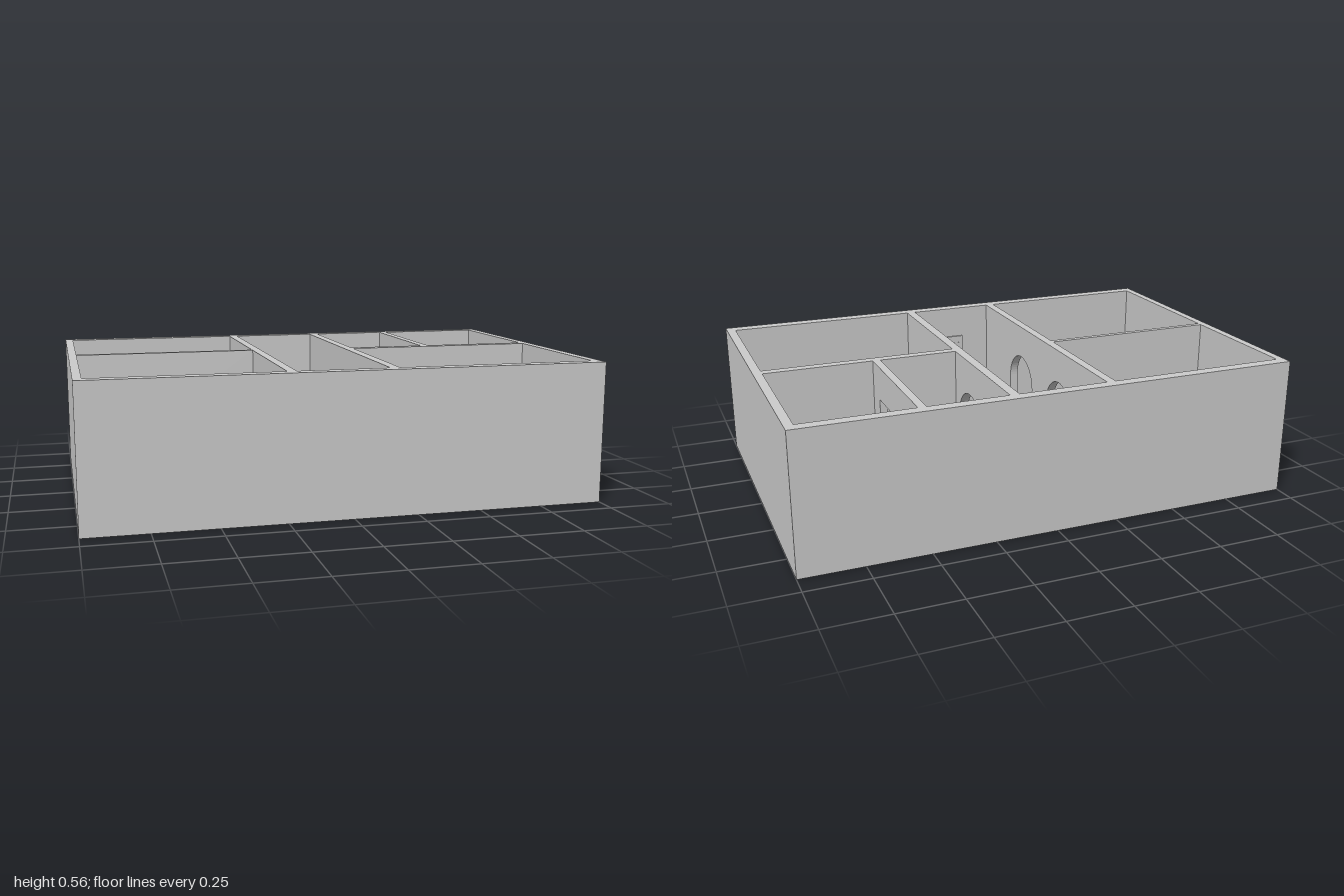
import * as THREE from 'three';

const H = 0.555, FLOOR = 0.04, DOOR_TOP = 0.42;
const BACK = -0.615, FRONT = 0.612;
const material = new THREE.MeshStandardMaterial({ color: 0xcccccc, side: THREE.DoubleSide });

function add(parent, name, geometry, x = 0, y = 0, z = 0) {
  const mesh = new THREE.Mesh(geometry, material);
  mesh.name = name;
  mesh.position.set(x, y, z);
  parent.add(mesh);
  return mesh;
}

// box given by its low and high corners
function block(parent, name, [x0, y0, z0], [x1, y1, z1]) {
  return add(parent, name, new THREE.BoxGeometry(x1 - x0, y1 - y0, z1 - z0),
    (x0 + x1) / 2, (y0 + y1) / 2, (z0 + z1) / 2);
}

// wall running along z, with doorways cut up from the floor: {z, width, arched}
function pierceWall(parent, name, x0, x1, z0, z1, doorways) {
  const s = new THREE.Shape();
  s.moveTo(z0, FLOOR);
  for (const { z, width, arched } of doorways) {
    const r = width / 2;
    s.lineTo(z - r, FLOOR);
    if (arched) {
      s.lineTo(z - r, DOOR_TOP - r);
      s.absarc(z, DOOR_TOP - r, r, Math.PI, 0, true);
    } else {
      s.lineTo(z - r, DOOR_TOP);
      s.lineTo(z + r, DOOR_TOP);
    }
    s.lineTo(z + r, FLOOR);
  }
  s.lineTo(z1, FLOOR);
  s.lineTo(z1, H);
  s.lineTo(z0, H);
  s.closePath();
  const g = new THREE.ExtrudeGeometry(s, { depth: x1 - x0, bevelEnabled: false, curveSegments: 16 });
  g.rotateY(-Math.PI / 2);
  return add(parent, name, g, x1, 0, 0);
}

// panelled leaf with its hinge at the origin, reaching along +x
function makeDoor(name, width, height) {
  const door = new THREE.Group();
  door.name = name;
  block(door, 'doorLeaf', [0, 0, -0.004], [width, height, 0.004]);
  const panelW = width * 0.32;
  for (const cx of [width * 0.28, width * 0.72]) {
    for (const [y0, y1] of [[0.08, 0.42], [0.52, 0.92]]) {
      block(door, 'doorPanel', [cx - panelW / 2, y0 * height, -0.0055],
        [cx + panelW / 2, y1 * height, 0.0055]);
    }
  }
  // lever handles on both faces
  for (const side of [-1, 1]) {
    const stem = new THREE.CylinderGeometry(0.004, 0.004, 0.012, 10).rotateX(Math.PI / 2);
    add(door, 'handleStem', stem, width - 0.01, height * 0.47, side * 0.009);
    add(door, 'handleLever', new THREE.BoxGeometry(0.024, 0.006, 0.004),
      width - 0.018, height * 0.47, side * 0.015);
  }
  return door;
}

export function createModel() {
  const house = new THREE.Group();
  house.name = 'floorPlan';

  // floor slab and outer wall ring
  block(house, 'floor', [-1, 0, -0.66], [1, FLOOR, 0.66]);
  const ring = new THREE.Shape([[-1, -0.66], [1, -0.66], [1, 0.66], [-1, 0.66]]
    .map(p => new THREE.Vector2(...p)));
  ring.holes.push(new THREE.Path([[-0.968, -FRONT], [-0.968, -BACK], [0.965, -BACK], [0.965, -FRONT]]
    .map(p => new THREE.Vector2(...p))));
  const outer = new THREE.ExtrudeGeometry(ring, { depth: H - FLOOR, bevelEnabled: false });
  add(house, 'outerWalls', outer.rotateX(-Math.PI / 2), 0, FLOOR, 0);

  // corridor walls with arched doorways
  pierceWall(house, 'corridorWallRight', -0.245, -0.21, BACK, FRONT,
    [{ z: -0.2, width: 0.24, arched: true }, { z: 0.19, width: 0.24, arched: true }]);
  pierceWall(house, 'corridorWallLeft', 0.145, 0.182, BACK, FRONT,
    [{ z: -0.2, width: 0.24, arched: true }, { z: 0.165, width: 0.24, arched: true }]);

  // cross walls between front and back rooms
  block(house, 'crossWallRight', [-0.968, FLOOR, -0.065], [-0.245, H, -0.043]);
  block(house, 'crossWallLeft', [0.182, FLOOR, -0.038], [0.965, H, 0]);

  // wall between the small back rooms, with a square doorway
  pierceWall(house, 'backRoomWall', 0.498, 0.53, BACK, -0.038,
    [{ z: -0.207, width: 0.17, arched: false }]);

  // open door of the back room
  const inner = makeDoor('backRoomDoor', 0.165, DOOR_TOP - FLOOR - 0.004);
  inner.position.set(0.53, FLOOR, -0.288);
  inner.rotation.y = -0.13;
  house.add(inner);

  // closed door on the inside of the front wall
  const entrance = makeDoor('entranceDoor', 0.165, DOOR_TOP - FLOOR);
  entrance.position.set(0.08, FLOOR, FRONT - 0.005);
  entrance.rotation.y = Math.PI;
  house.add(entrance);

  return house;
}
